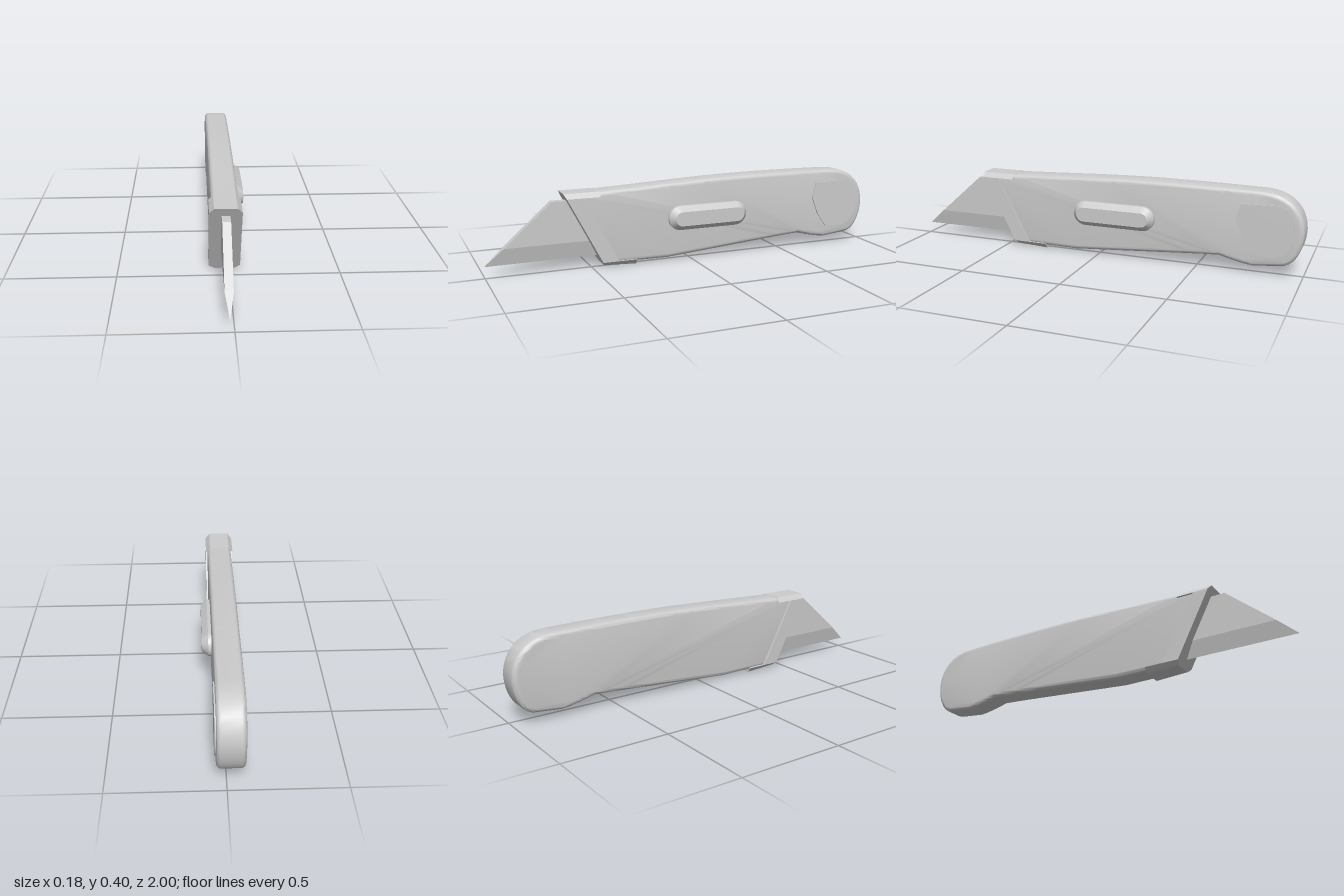
import * as THREE from 'three';
import { toCreasedNormals } from 'three/addons/utils/BufferGeometryUtils.js';

const material = new THREE.MeshStandardMaterial({ color: 0xcccccc });
const MID = -0.018; // centre plane of the handle

function addMesh(group, name, geometry, crease = 0.6) {
  const mesh = new THREE.Mesh(toCreasedNormals(geometry, crease), material);
  mesh.name = name;
  group.add(mesh);
}

const shapeOf = (points) => new THREE.Shape(points.map(([a, b]) => new THREE.Vector2(a, b)));

// Side profile (z, y) extruded across x from x0 to x1, bevels kept inside the outline
function sidePlate(shape, x0, x1, bevel = 0, thick = bevel, segments = 1) {
  const g = new THREE.ExtrudeGeometry(shape, {
    depth: x1 - x0 - 2 * thick, bevelEnabled: bevel > 0, bevelSize: bevel,
    bevelThickness: thick, bevelOffset: -bevel, bevelSegments: segments, curveSegments: 10,
  });
  return g.rotateY(-Math.PI / 2).translate(x1 - thick, 0, 0);
}

function mapVertices(geometry, rule) {
  const p = geometry.attributes.position, v = new THREE.Vector3();
  for (let i = 0; i < p.count; i++) {
    rule(v.fromBufferAttribute(p, i));
    p.setXYZ(i, v.x, v.y, v.z);
  }
  geometry.computeVertexNormals();
  return geometry;
}

function handleShape() {
  const v = (z, y) => new THREE.Vector2(z, y);
  const s = new THREE.Shape();
  s.moveTo(0.57, 0.365);
  s.splineThru([v(0.3, 0.376), v(0, 0.389), v(-0.25, 0.396), v(-0.55, 0.396), v(-0.8, 0.392)]);
  s.bezierCurveTo(-0.94, 0.39, -0.995, 0.3, -0.998, 0.215);
  s.bezierCurveTo(-0.998, 0.14, -0.965, 0.055, -0.9, 0.048);
  s.lineTo(-0.77, 0.035);
  s.quadraticCurveTo(-0.72, 0.038, -0.61, 0.068);
  s.quadraticCurveTo(-0.5, 0.062, -0.3, 0.046);
  s.lineTo(0.12, 0.014);
  s.lineTo(0.4, 0.018);
  return s;
}

// Stadium outline of the thumb slider
function sliderShape() {
  const s = new THREE.Shape(), r = 0.06, y = 0.212;
  s.absarc(0.06, y, r, -Math.PI / 2, Math.PI / 2, false);
  s.absarc(-0.235, y, r, Math.PI / 2, Math.PI * 1.5, false);
  return s;
}

export function createModel() {
  const group = new THREE.Group();

  addMesh(group, 'handle', sidePlate(handleShape(), -0.079, 0.043, 0.022, 0.02, 5), 0.8);

  // Thumb slider with sloping rim
  addMesh(group, 'slider', sidePlate(sliderShape(), 0.0, 0.088, 0.025, 0.03));

  // Raised pad at the butt
  const pad = shapeOf([[-0.706, 0.33], [-0.885, 0.335], [-0.925, 0.315], [-0.95, 0.27], [-0.957, 0.2],
    [-0.94, 0.145], [-0.91, 0.108], [-0.865, 0.092], [-0.77, 0.095], [-0.72, 0.165], [-0.685, 0.255]]);
  addMesh(group, 'buttPad', sidePlate(pad, 0.02, 0.049));

  // Nose collar: three stacked slabs with slanted front and stepped rear edge
  const front = (y) => 0.445 + (y - 0.01) * 0.52;
  const collar = new THREE.Group();
  collar.name = 'noseCollar';
  const slabs = [
    ['collarTop', 0.347, 0.071, 0.37, 0.05, () => 0.46],
    ['collarSides', 0.027, 0.071, 0.347, 0.071, (y) => 0.374 + (y - 0.027) * 0.534],
    ['collarBottom', 0, 0.046, 0.027, 0.071, () => 0.284],
  ];
  for (const [name, y0, w0, y1, w1, rear] of slabs) {
    const g = new THREE.ExtrudeGeometry(
      shapeOf([[-w0, y0], [w0, y0], [w1, y1], [-w1, y1]]), { depth: 1, bevelEnabled: false });
    mapVertices(g, (v) => {
      v.x += MID - 0.001;
      if (v.y < 0.001 && v.z > 0.5) v.y = 0.009;
      v.z = THREE.MathUtils.lerp(rear(v.y), front(v.y), v.z);
    });
    addMesh(collar, name, g, 0.3);
  }
  group.add(collar);

  // Blade: flat upper part and a wedge tapering to the cutting edge
  const flat = shapeOf([[0.4, 0.13], [0.909, 0.13], [0.68, 0.331], [0.45, 0.331]]);
  addMesh(group, 'blade', sidePlate(flat, -0.037, 0.0), 0.3);
  const edge = shapeOf([[0.4, 0.05], [1, 0.05], [0.909, 0.13], [0.4, 0.13]]);
  const wedge = mapVertices(sidePlate(edge, -0.037, 0.0), (v) => {
    if (v.y < 0.06) v.x = -0.0185;
  });
  addMesh(group, 'cuttingEdge', wedge, 0.1);

  return group;
}
